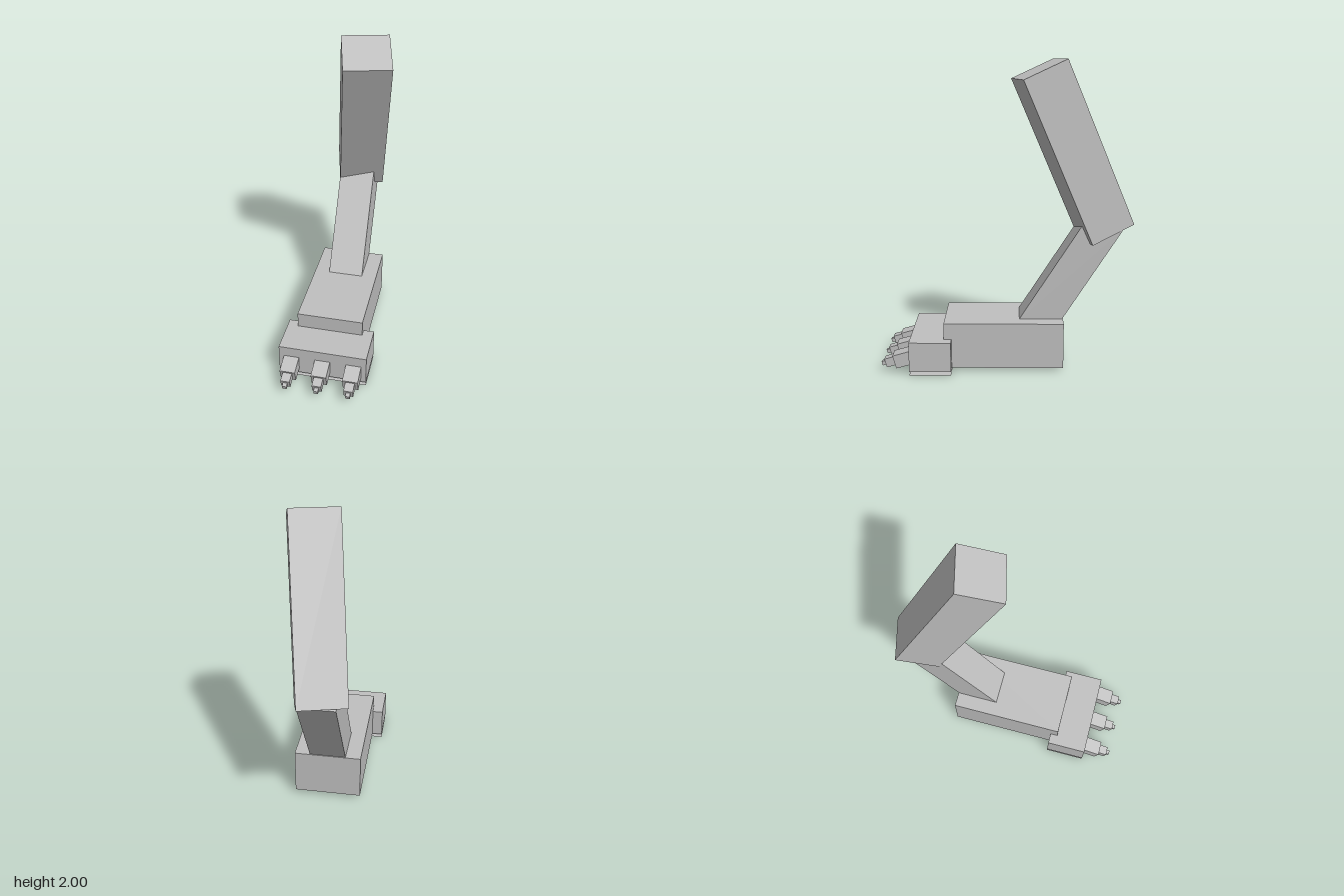
import * as THREE from 'three';

export function createModel() {
  const model = new THREE.Group();
  model.name = 'mechanicalLeg';
  const grey = new THREE.MeshStandardMaterial({ color: 0xc0c0c0 });
  grey.name = 'plain grey';
  const soleGrey = grey.clone();
  soleGrey.side = THREE.DoubleSide;

  // Box of a given size, centred at pos, yawed and then pitched
  function block(name, size, pos, pitch = 0, yaw = 0) {
    const mesh = new THREE.Mesh(new THREE.BoxGeometry(...size), grey);
    mesh.name = name;
    mesh.position.set(...pos);
    mesh.rotation.set(pitch, yaw, 0, 'YXZ');
    model.add(mesh);
    return mesh;
  }

  // Thigh leans forward and turns slightly outward
  block('thigh', [0.304, 1.14, 0.304], [0.0475, 1.418, -0.42], 0.416, 0.249);

  // Shin leans back, from inside the foot up into the thigh
  const lean = 0.569;
  const shinLength = 0.89;
  const top = new THREE.Vector3(0, 1.0, -0.652);
  const axis = new THREE.Vector3(0, Math.cos(lean), -Math.sin(lean));
  const shinCentre = top.addScaledVector(axis, -shinLength / 2);
  block('shin', [0.236, shinLength, 0.236], shinCentre.toArray(), -lean);

  // Foot and the wider block that carries the toes
  block('foot', [0.436, 0.3, 0.776], [0, 0.175, 0.022]);
  block('toeBase', [0.576, 0.196, 0.27], [0, 0.123, 0.495]);

  // Flat sole just under the toe base
  const sole = new THREE.Mesh(new THREE.PlaneGeometry(0.576, 0.27), soleGrey);
  sole.name = 'sole';
  sole.rotation.x = -Math.PI / 2;
  sole.position.set(0, 0, 0.495);
  model.add(sole);

  // Three toes, each of three shrinking segments: width, height, length, tip y, tip z
  const droop = 0.28;
  const segments = [
    [0.1, 0.088, 0.13, 0.077, 0.728],
    [0.06, 0.058, 0.08, 0.062, 0.788],
    [0.028, 0.027, 0.04, 0.053, 0.813],
  ];
  for (const x of [-0.205, 0, 0.205]) {
    segments.forEach(([w, h, len, y, z], i) => {
      const centre = [x, y + Math.sin(droop) * len / 2, z - Math.cos(droop) * len / 2];
      block('toeSegment' + (i + 1), [w, h, len], centre, droop);
    });
  }

  return model;
}
